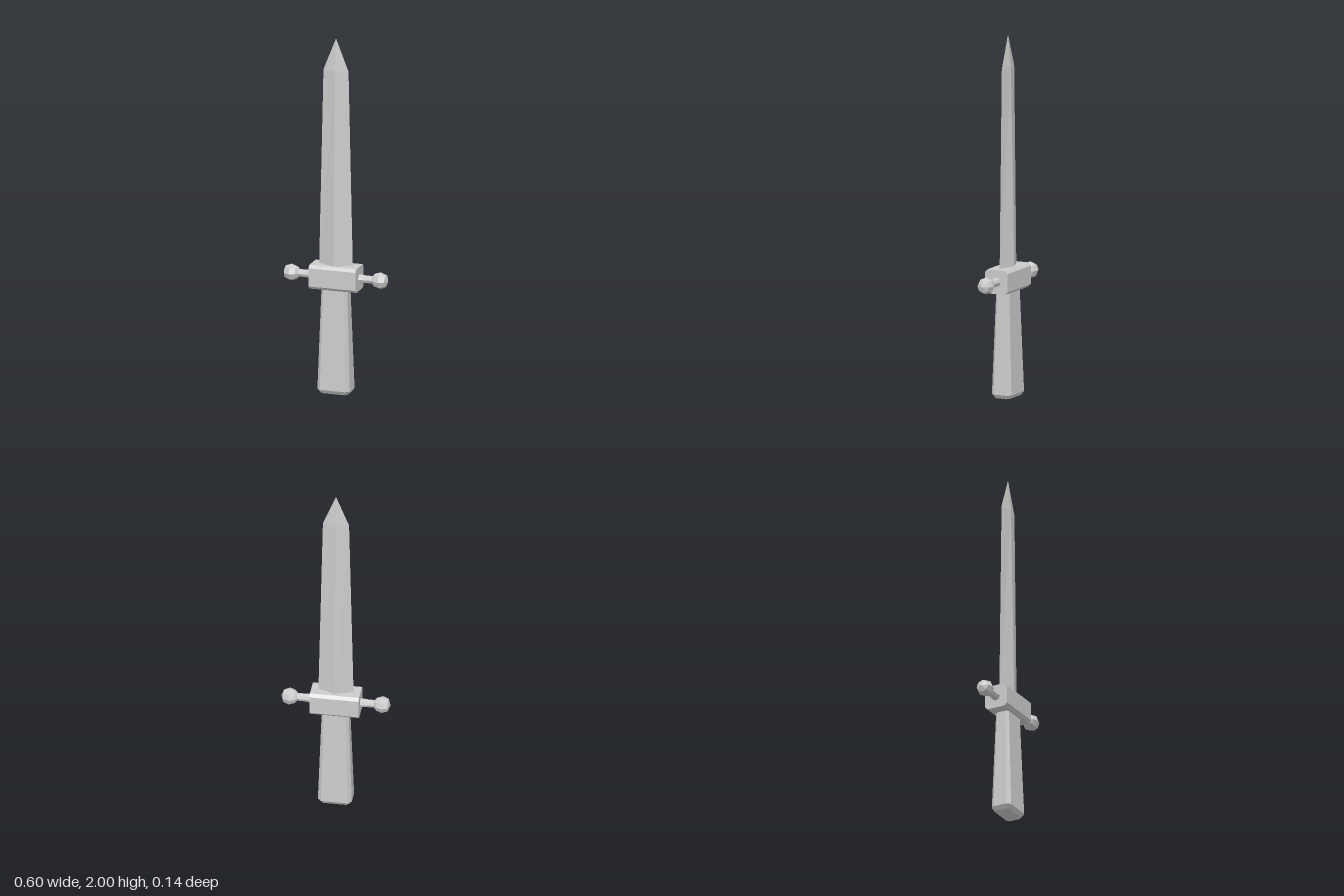
import * as THREE from 'three';

const material = new THREE.MeshStandardMaterial({ color: 0xcccccc, flatShading: true, side: THREE.DoubleSide });

// Cross-sections as [x, z] corners, counter-clockwise seen from above
const diamond = (w, d) => [[w, 0], [0, -d], [-w, 0], [0, d]];
const chamferedRect = (w, d, c) => [
  [w, d - c], [w, c - d], [w - c, -d], [c - w, -d],
  [-w, c - d], [-w, d - c], [c - w, d], [w - c, d],
];

// Joins sections stacked along y and closes both ends
function loft(sections) {
  const n = sections[0].ring.length;
  const vertices = sections.flatMap(({ y, ring }) => ring.flatMap(([x, z]) => [x, y, z]));
  const index = [];
  for (let s = 0; s < sections.length - 1; s++) {
    for (let i = 0; i < n; i++) {
      const a = s * n + i, b = s * n + (i + 1) % n;
      index.push(a, b, b + n, a, b + n, a + n);
    }
  }
  const top = (sections.length - 1) * n;
  for (let i = 1; i < n - 1; i++) {
    index.push(0, i + 1, i);
    index.push(top, top + i, top + i + 1);
  }
  const indexed = new THREE.BufferGeometry();
  indexed.setAttribute('position', new THREE.Float32BufferAttribute(vertices, 3));
  indexed.setIndex(index);
  const geometry = indexed.toNonIndexed();
  geometry.computeVertexNormals();
  return geometry;
}

export function createModel() {
  const model = new THREE.Group();
  model.name = 'dagger';
  const add = (name, geometry, parent = model) => {
    const mesh = new THREE.Mesh(geometry, material);
    mesh.name = name;
    parent.add(mesh);
    return mesh;
  };

  // Tapered diamond blade with a pointed tip
  add('blade', loft([
    { y: 0.7, ring: diamond(0.097, 0.039) },
    { y: 1.82, ring: diamond(0.072, 0.018) },
    { y: 2, ring: diamond(0.0005, 0.0005) },
  ]));

  // Grip, wider at the bottom, with chamfered edges and base
  add('grip', loft([
    { y: 0, ring: chamferedRect(0.078, 0.045, 0.014) },
    { y: 0.022, ring: chamferedRect(0.093, 0.06, 0.02) },
    { y: 0.62, ring: chamferedRect(0.073, 0.039, 0.013) },
  ]));

  // Guard block with its long edges chamfered
  const block = add('guardBlock', loft([-0.135, 0.135].map(
    (y) => ({ y, ring: chamferedRect(0.067, 0.069, 0.016) }))));
  block.rotation.z = -Math.PI / 2;
  block.position.y = 0.655;

  // Guard arms ending in faceted knobs, one on each side
  const lathe = (points) => new THREE.LatheGeometry(points.map(([r, y]) => new THREE.Vector2(r, y)), 8);
  const rod = lathe([[0.026, 0.125], [0.025, 0.14], [0.022, 0.17], [0.021, 0.22]]);
  const knob = lathe([[0, 0.212], [0.024, 0.212], [0.037, 0.225], [0.047, 0.255], [0.035, 0.287], [0, 0.3]]);
  for (const side of [1, -1]) {
    const arm = new THREE.Group();
    arm.name = side > 0 ? 'leftGuardArm' : 'rightGuardArm';
    arm.rotation.z = -side * Math.PI / 2;
    arm.position.y = 0.655;
    add('rod', rod, arm);
    add('knob', knob, arm);
    model.add(arm);
  }
  return model;
}
